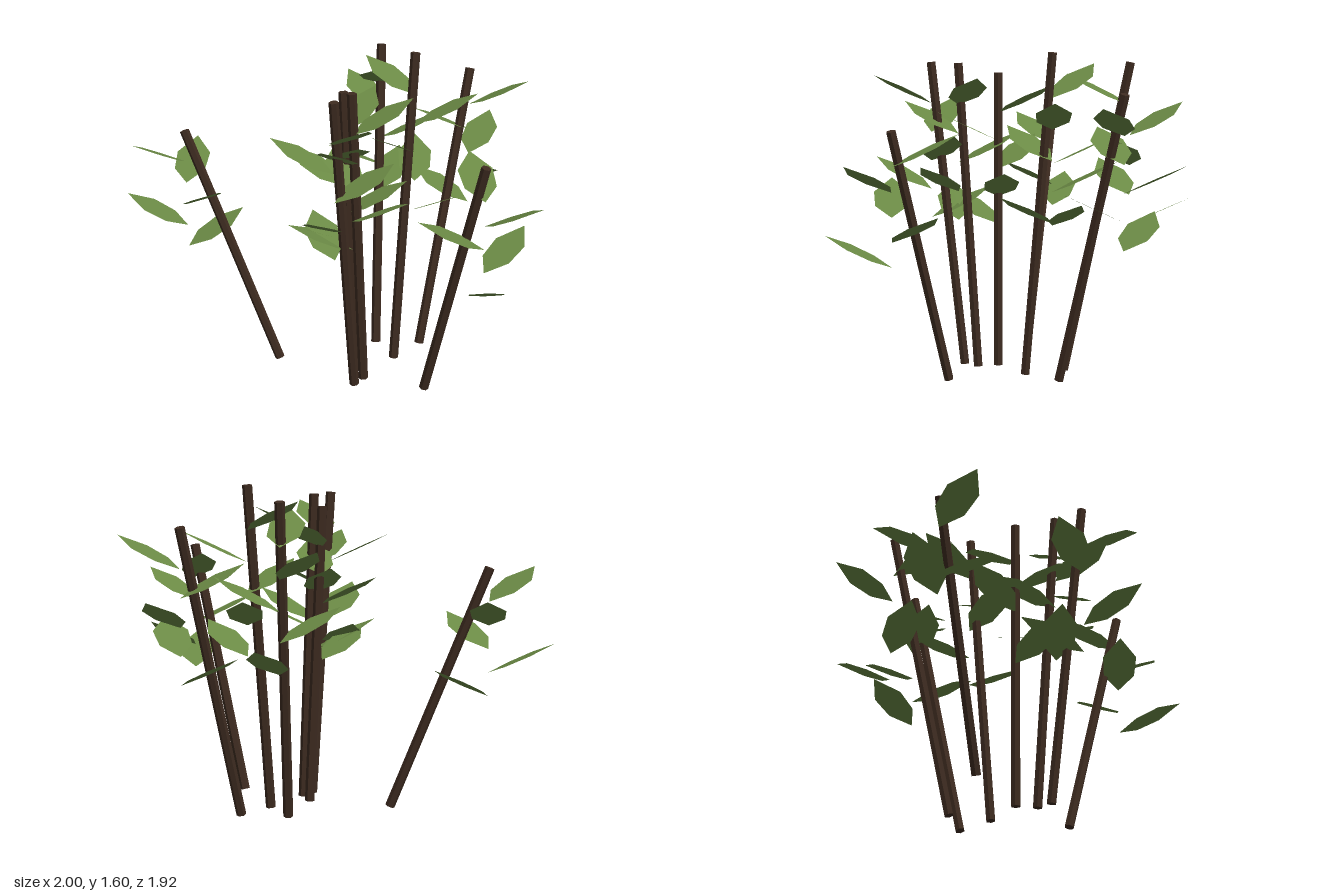
import * as THREE from 'three';

const bark = new THREE.MeshStandardMaterial({ color: 0x3d2b20, flatShading: true });
bark.name = 'dark bark';
const leafGreen = new THREE.MeshStandardMaterial({ color: 0x6b8a45, flatShading: true, side: THREE.DoubleSide });
leafGreen.name = 'leaf green';

const GOLDEN = THREE.MathUtils.degToRad(137.5);
const STEM_RADIUS = 0.024;
const LEAF_PITCH = THREE.MathUtils.degToRad(25.5);

// base x, base z, top x, top y, top z; each stem's leaves turn 40 degrees further
const STEMS = [
  [-0.355, -0.37, -0.69, 1.205, -0.71],
  [0.175, -0.285, 0.365, 1.545, -0.54],
  [-0.18, 0.09, -0.345, 1.53, 0.193],
  [0.36, -0.15, 0.74, 1.425, -0.275],
  [-0.105, 0.053, -0.2, 1.53, 0.113],
  [-0.082, -0.05, -0.135, 1.48, -0.077],
  [0.09, 0.315, 0.195, 1.25, 0.663],
  [0.155, -0.075, 0.313, 1.6, -0.133],
];

// Flat six-sided leaf growing from the origin along +x, facing up
function leafGeometry() {
  const shape = new THREE.Shape([
    [0, 0], [0.1, -0.078], [0.225, -0.085], [0.35, 0], [0.225, 0.085], [0.1, 0.078],
  ].map(([x, y]) => new THREE.Vector2(x, y)));
  return new THREE.ShapeGeometry(shape).rotateX(-Math.PI / 2).rotateZ(LEAF_PITCH);
}

// Straight hexagonal rod between two points
function makeStem(from, to) {
  const dir = to.clone().sub(from);
  const stem = new THREE.Mesh(
    new THREE.CylinderGeometry(STEM_RADIUS, STEM_RADIUS, dir.length(), 6), bark);
  stem.position.copy(from).add(to).multiplyScalar(0.5);
  stem.quaternion.setFromUnitVectors(new THREE.Vector3(0, 1, 0), dir.normalize());
  stem.name = 'stem';
  return stem;
}

export function createModel() {
  const model = new THREE.Group();
  model.name = 'leafyStems';
  const leafGeo = leafGeometry();

  STEMS.forEach(([bx, bz, tx, ty, tz], i) => {
    const shoot = new THREE.Group();
    shoot.name = 'shoot' + (i + 1);
    const lean = Math.hypot(tx - bx, tz - bz) / ty;
    shoot.add(makeStem(
      new THREE.Vector3(bx, STEM_RADIUS * Math.sin(Math.atan(lean)), bz),
      new THREE.Vector3(tx, ty, tz)));

    // Five leaves spiral upward around the vertical line below the tip
    for (let k = 0; k < 5; k++) {
      const leaf = new THREE.Mesh(leafGeo, leafGreen);
      leaf.position.set(tx, ty * (0.485 + 0.095 * k), tz);
      leaf.rotation.y = THREE.MathUtils.degToRad(40 * i) + GOLDEN * k;
      leaf.name = 'leaf';
      shoot.add(leaf);
    }
    model.add(shoot);
  });
  return model;
}
